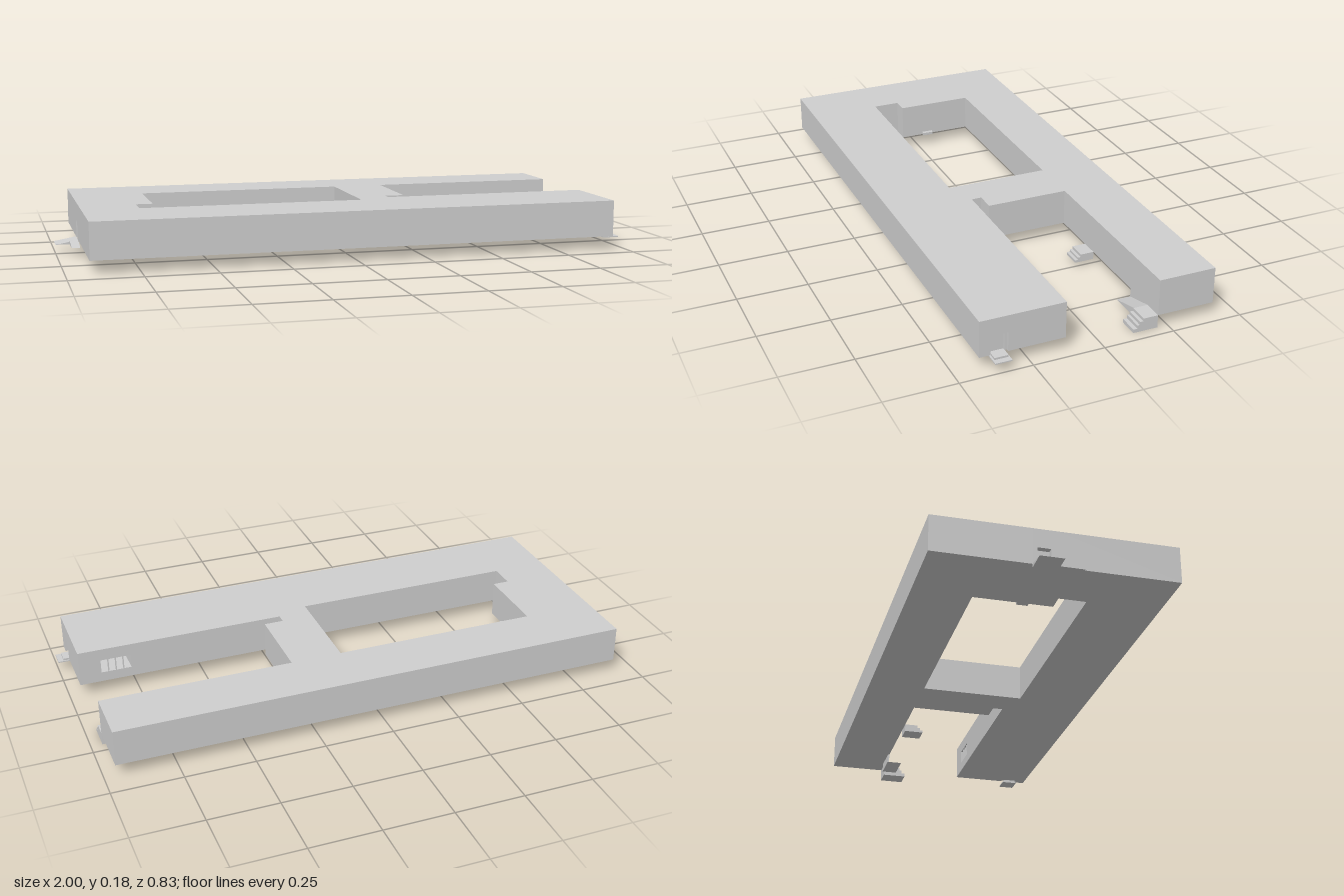
import * as THREE from 'three';

const BASE = 0.046, TOP = 0.176, H = TOP - BASE;
const WINDOW_DEPTH = 0.1, DOOR_DEPTH = 0.02, ZB = 0.417, WING = -0.2125;

function shapeFrom(points, Type = THREE.Shape) {
  return new Type(points.map(([x, y]) => new THREE.Vector2(x, y)));
}

const rect = (x0, y0, x1, y1) => [[x0, y0], [x1, y0], [x1, y1], [x0, y1]];

function extrude(shape, depth) {
  return new THREE.ExtrudeGeometry(shape, { depth, bevelEnabled: false });
}

export function createModel() {
  const group = new THREE.Group();
  const concrete = new THREE.MeshStandardMaterial({ color: 0xcfcfcf, flatShading: true });
  concrete.name = 'concrete';

  function add(name, geometry) {
    const mesh = new THREE.Mesh(geometry, concrete);
    mesh.name = name;
    group.add(mesh);
  }

  function box(name, x0, x1, y0, y1, z0, z1) {
    const g = new THREE.BoxGeometry(x1 - x0, y1 - y0, z1 - z0);
    add(name, g.translate((x0 + x1) / 2, (y0 + y1) / 2, (z0 + z1) / 2));
  }

  // Section drawn in (z, y) and swept along x from x0 to x1
  function sweepX(name, points, x0, x1) {
    const shape = shapeFrom(points.map(([z, y]) => [-z, y]));
    add(name, extrude(shape, x1 - x0).rotateY(Math.PI / 2).translate(x0, 0, 0));
  }

  // Section drawn in (x, y) and swept along z from z0 to z1
  function sweepZ(name, points, z0, z1, holes = []) {
    const shape = shapeFrom(points);
    holes.forEach((h) => shape.holes.push(shapeFrom(h, THREE.Path)));
    add(name, extrude(shape, z1 - z0).translate(0, 0, z0));
  }

  // Building block: plan in (x, z), with a courtyard, an open bay and pockets for the recessed openings.
  // The outline is reversed to run counter-clockwise, so the courtyard walls face inwards.
  const flipZ = (list) => list.map(([x, z]) => [x, -z]);
  const plan = shapeFrom(flipZ([
    [-0.92, -ZB], [0.96, -ZB], [0.96, WING], [0.27, WING], [0.27, 0.084], [0.2, 0.084], [0.2, 0.12],
    [0.74, 0.12], [0.74, 0.12 + WINDOW_DEPTH], [0.92, 0.12 + WINDOW_DEPTH], [0.92, 0.12], [0.96, 0.12],
    [0.96, 0.3], [0.96 - DOOR_DEPTH, 0.3], [0.96 - DOOR_DEPTH, 0.4], [0.96, 0.4], [0.96, ZB], [-0.92, ZB],
    [-0.92, 0], [-0.92 + DOOR_DEPTH, 0], [-0.92 + DOOR_DEPTH, -0.08], [-0.92, -0.08],
  ]).reverse());
  plan.holes.push(shapeFrom(flipZ([
    [-0.66, WING], [0.085, WING], [0.085, 0.16], [-0.72, 0.16], [-0.72, 0.064], [-0.66, 0.064],
  ]), THREE.Path));
  add('building', extrude(plan, H).rotateX(-Math.PI / 2).translate(0, BASE, 0));

  // Wall with one deep window opening, divided by mullions
  sweepZ('windowWall', rect(0.74, BASE, 0.92, TOP), 0.12, 0.12 + WINDOW_DEPTH, [rect(0.77, 0.082, 0.88, 0.132)]);
  for (let i = 1; i < 4; i++) {
    const x = 0.77 + i * 0.0275;
    box('mullion', x - 0.002, x + 0.002, 0.082, 0.132, 0.122, 0.128);
  }

  // Walls with a doorway open at the foot
  function doorWall(name, x0, x1, zMin, zMax, d0, d1, doorTop) {
    sweepX(name, [
      [zMin, BASE], [zMin, TOP], [zMax, TOP], [zMax, BASE],
      [d1, BASE], [d1, doorTop], [d0, doorTop], [d0, BASE],
    ], x0, x1);
  }
  doorWall('leftDoorSurround', 0.95, 0.96, 0.3, 0.4, 0.319, 0.381, 0.114);
  doorWall('leftDoorFrame', 0.96 - DOOR_DEPTH, 0.95, 0.3, 0.4, 0.327, 0.374, 0.11);
  doorWall('rightDoorWall', -0.92, -0.92 + DOOR_DEPTH, -0.08, 0, -0.065, -0.02, 0.108);

  // Door steps on the left end
  box('leftDoorLanding', 0.94, 0.98, 0.039, BASE, 0.327, 0.374);
  box('leftDoorStep', 0.94, 1, 0.035, 0.039, 0.322, 0.38);

  // Sloped landing and side ramp on the right end
  sweepZ('rightLanding', [[-1, 0.032], [-0.92, 0.032], [-0.92, BASE]], -0.083, 0);
  sweepX('rightRamp', [[0.081, 0.032], [0, BASE], [0, 0.032]], -0.95, -0.92);

  // Small step in the courtyard
  box('courtyardStep', -0.67, -0.645, BASE, 0.056, -0.06, -0.02);

  // Stairs in the open bay: treads going down from the wall
  function stairs(name, x0, x1, edges, levels) {
    const foot = levels[levels.length - 1];
    const points = [[WING, foot], [WING, BASE]];
    edges.forEach((z, i) => points.push([z, levels[i]], [z, levels[i + 1]]));
    sweepX(name, points, x0, x1);
  }
  stairs('bayStairs', 0.44, 0.505, [-0.163, -0.153, -0.142], [BASE, 0.036, 0.027, 0.018]);
  stairs('endStairs', 0.89, 0.96, [-0.16, -0.147, -0.138, -0.124], [BASE, 0.036, 0.025, 0.013, 0]);

  // Ramp beside the end stairs, with a low wall behind it under the wing
  sweepZ('endRamp', [[0.775, 0.014], [0.89, 0.014], [0.89, BASE]], WING, -0.162);
  box('rampBackWall', 0.775, 0.89, 0.014, BASE, WING - 0.006, WING);

  return group;
}
